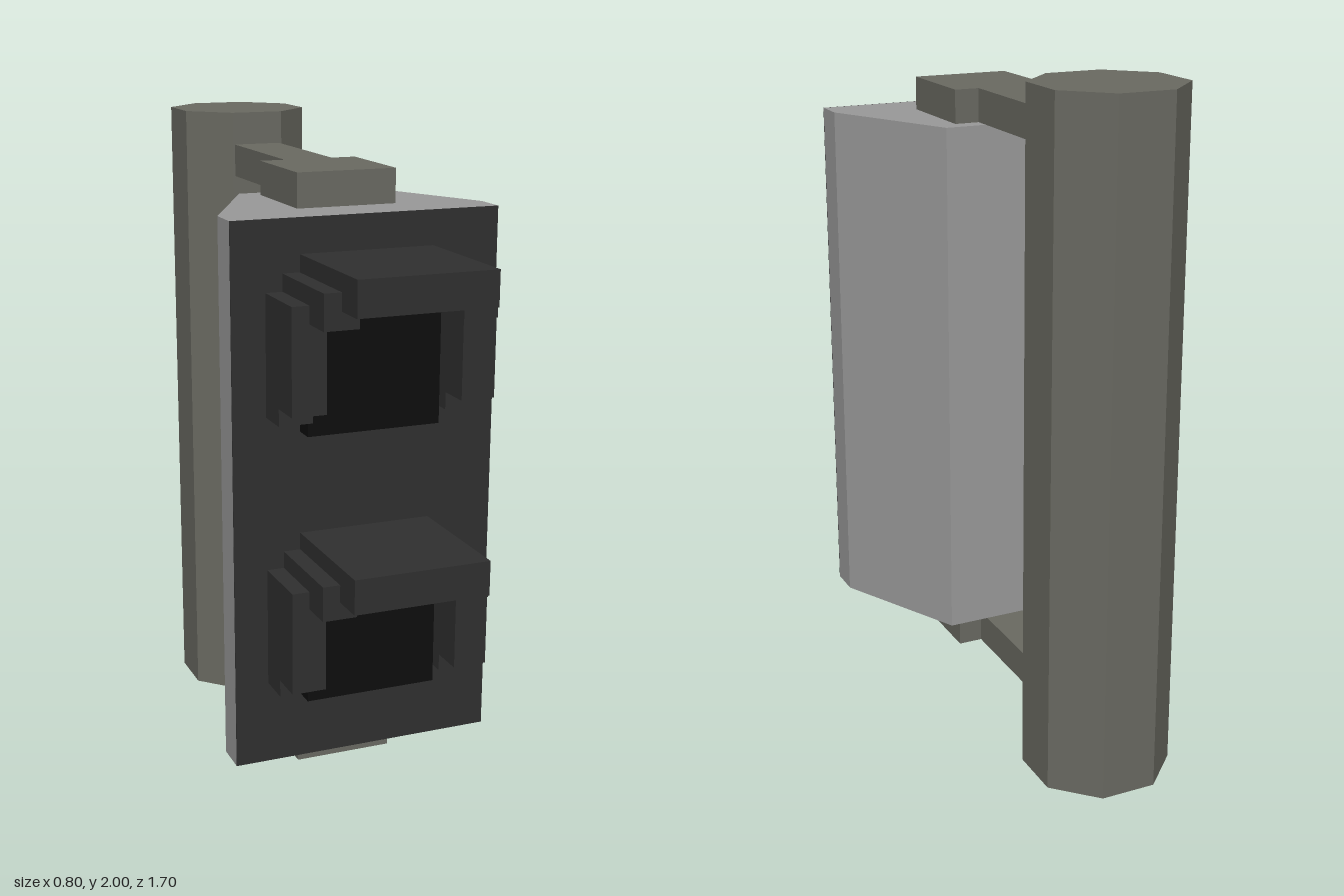
import * as THREE from 'three';

const mat = (name, color) => {
  const m = new THREE.MeshStandardMaterial({ color });
  m.name = name;
  return m;
};

export function createModel() {
  const root = new THREE.Group();
  root.name = 'pedestrianSignal';
  const metal = mat('pole metal', 0x696961);
  const grey = mat('housing grey', 0x999999);
  const dark = mat('dark face', 0x2f2f2f);
  const black = mat('unlit lens black', 0x0d0d0d);

  const add = (parent, name, geometry, material) => {
    const mesh = new THREE.Mesh(geometry, material);
    mesh.name = name;
    parent.add(mesh);
    return mesh;
  };
  // Box given by its minimum and maximum corners
  const box = (parent, name, material, [x0, y0, z0], [x1, y1, z1]) =>
    add(parent, name, new THREE.BoxGeometry(x1 - x0, y1 - y0, z1 - z0), material)
      .position.set((x0 + x1) / 2, (y0 + y1) / 2, (z0 + z1) / 2);

  // Octagonal pole with flat sides facing the axes
  const poleGeo = new THREE.CylinderGeometry(0.2165, 0.2165, 2, 8).rotateY(Math.PI / 8).toNonIndexed();
  poleGeo.computeVertexNormals();
  add(root, 'pole', poleGeo, metal).position.set(0, 1, -0.65);

  // Brackets above and below the housing
  for (const [name, y] of [['lower', 0.1], ['upper', 1.8]]) {
    box(root, name + 'Arm', metal, [-0.075, y, -0.46], [0.075, y + 0.1, 0]);
    box(root, name + 'BracketPlate', metal, [-0.15, y, 0], [0.15, y + 0.1, 0.3]);
  }

  // Tapered housing: plan outline (x, -z) extruded upwards
  const plan = new THREE.Shape([
    [-0.4, -0.448], [0.4, -0.448], [0.4, -0.35], [0.2, 0.05], [-0.2, 0.05], [-0.4, -0.35],
  ].map(([x, y]) => new THREE.Vector2(x, y)));
  const housing = new THREE.ExtrudeGeometry(plan, { depth: 1.6, bevelEnabled: false }).rotateX(-Math.PI / 2);
  add(root, 'housing', housing, grey).position.y = 0.2;
  box(root, 'frontPanel', dark, [-0.4, 0.2, 0.448], [0.4, 1.8, 0.45]);

  // Two lamps, each with a lens and a stepped hood
  for (const [name, y] of [['lowerLamp', 0.4], ['upperLamp', 1.2]]) {
    const lamp = new THREE.Group();
    lamp.name = name;
    lamp.position.y = y;
    root.add(lamp);
    box(lamp, 'lens', black, [-0.2, 0, 0.45], [0.2, 0.4, 0.51]);
    box(lamp, 'hoodTop', dark, [-0.2, 0.4, 0.45], [0.2, 0.5, 0.85]);
    for (const s of [-1, 1]) {
      const side = (part, x0, x1, y0, y1, z1) =>
        box(lamp, part, dark, [Math.min(s * x0, s * x1), y0, 0.45], [Math.max(s * x0, s * x1), y1, z1]);
      side('hoodShoulder', 0.15, 0.25, 0.35, 0.45, 0.75);
      side('hoodSide', 0.2, 0.3, 0.1, 0.4, 0.65);
      side('hoodSideFoot', 0.2, 0.3, 0.05, 0.1, 0.55);
    }
  }
  return root;
}
